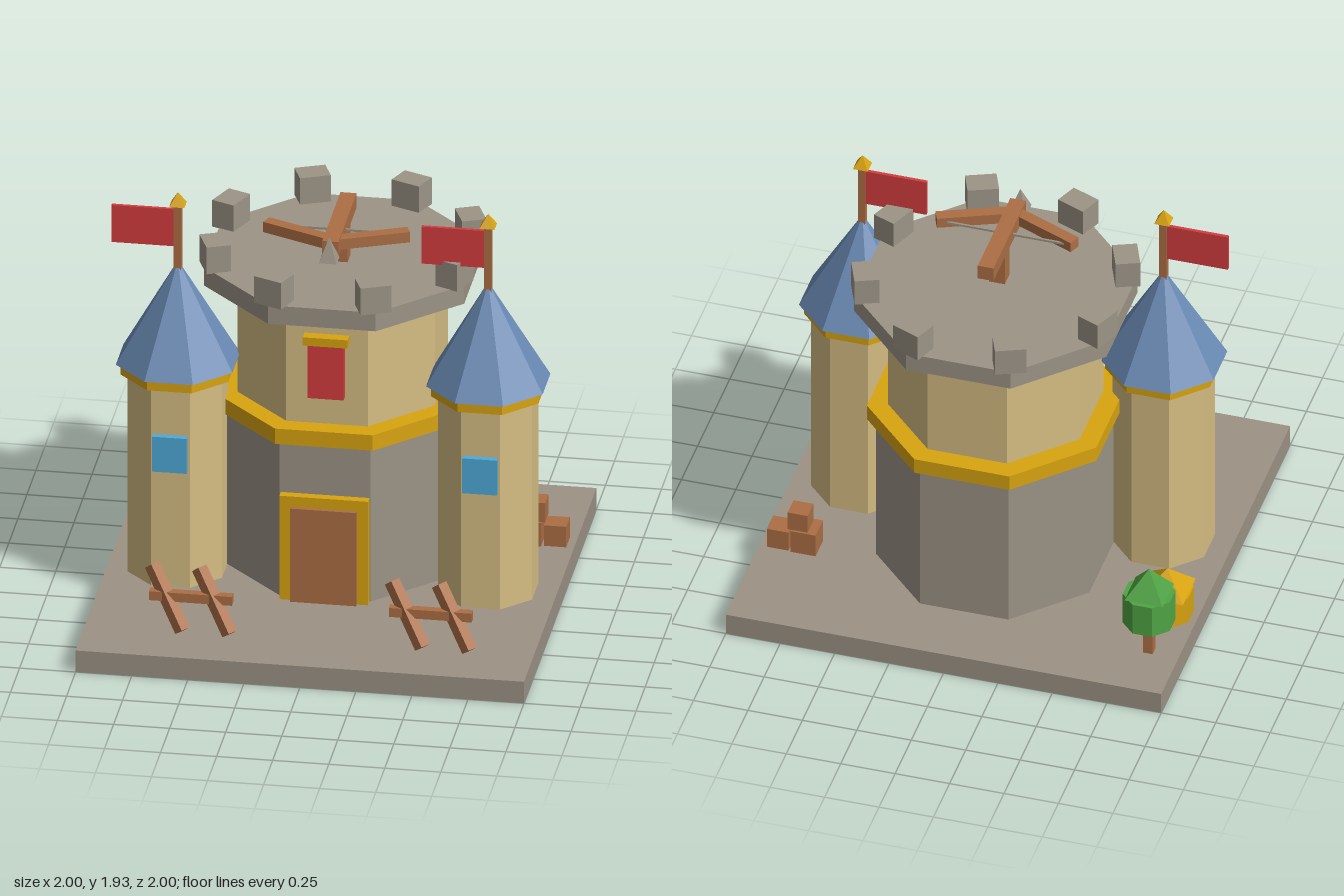
import * as THREE from 'three';

export function createModel() {
  const model = new THREE.Group();
  model.name = 'castle';
  const mat = (name, color, side = THREE.FrontSide) =>
    Object.assign(new THREE.MeshStandardMaterial({ color, flatShading: true, side }), { name });
  const stone = mat('stone', 0x9c9486);
  const ground = mat('groundStone', 0x9c9285, THREE.DoubleSide);
  const tan = mat('sandstone', 0xd6be83);
  const gold = mat('gold', 0xd8a410);
  const red = mat('red', 0xd43d3f);
  const glass = mat('windowBlue', 0x4eaad8);
  const slate = mat('slateBlue', 0x6a8ab4);
  const wood = mat('wood', 0xac6e45);
  const leaf = mat('leafGreen', 0x50a545);

  const add = (name, geo, material, x, y, z, parent = model) => {
    const m = new THREE.Mesh(geo, material);
    m.name = name;
    m.position.set(x, y, z);
    parent.add(m);
    return m;
  };
  const box = (name, material, w, h, d, x, y, z, parent) =>
    add(name, new THREE.BoxGeometry(w, h, d), material, x, y, z, parent);
  // Prism or pyramid between two heights; a = distance from axis to flat side
  const prism = (name, material, sides, a, y0, y1, x, z, parent, top = a) => {
    const k = 1 / Math.cos(Math.PI / sides);
    const g = new THREE.CylinderGeometry(top * k, a * k, y1 - y0, sides).rotateY(Math.PI / sides);
    return add(name, g, material, x, (y0 + y1) / 2, z, parent);
  };
  // Square beam from point p to point q
  const beam = (name, material, p, q, w, h, parent) => {
    const a = new THREE.Vector3(...p), b = new THREE.Vector3(...q);
    const m = box(name, material, w, h, a.distanceTo(b), 0, 0, 0, parent);
    m.position.copy(a).add(b).multiplyScalar(0.5);
    m.quaternion.setFromRotationMatrix(new THREE.Matrix4().lookAt(b, a, new THREE.Vector3(0, 1, 0)));
    return m;
  };
  const group = (name) => {
    const g = new THREE.Group();
    g.name = name;
    model.add(g);
    return g;
  };

  // Ground slab, open underneath
  const slab = new THREE.BoxGeometry(2, 0.105, 2);
  const idx = Array.from(slab.index.array);
  idx.splice(18, 6);
  slab.setIndex(idx);
  slab.clearGroups();
  add('groundSlab', slab, ground, 0, 0.0525, 0);

  // Central keep
  const keep = group('keep');
  const KZ = -0.19;
  prism('lowerKeep', stone, 8, 0.49, 0.105, 0.88, 0, KZ, keep);
  prism('keepBand', gold, 8, 0.527, 0.86, 0.935, 0, KZ, keep);
  prism('upperKeep', tan, 8, 0.44, 0.93, 1.48, 0, KZ, keep);
  prism('battlementFloor', stone, 8, 0.58, 1.47, 1.56, 0, KZ, keep);
  for (let i = 0; i < 8; i++) {
    const t = (i + 0.5) * Math.PI / 4;
    const m = box('merlon', stone, 0.14, 0.13, 0.11,
      Math.sin(t) * 0.578, 1.623, KZ + Math.cos(t) * 0.578, keep);
    m.rotation.y = t;
  }

  // Door and banner
  box('doorFrame', gold, 0.395, 0.505, 0.06, 0, 0.3575, 0.31, keep);
  box('door', wood, 0.295, 0.455, 0.06, 0, 0.3325, 0.329, keep);
  box('banner', red, 0.16, 0.28, 0.04, 0, 1.21, 0.265, keep);
  box('bannerRod', gold, 0.2, 0.04, 0.06, 0, 1.352, 0.27, keep);

  // Roof crossbow
  const bow = group('roofCrossbow');
  box('bowPost', wood, 0.072, 0.17, 0.072, 0, 1.64, -0.135, bow);
  box('bowStock', wood, 0.072, 0.07, 0.505, 0, 1.745, -0.095, bow);
  for (const s of [-1, 1])
    beam('bowArm', wood, [0, 1.745, 0.095], [s * 0.318, 1.745, -0.04], 0.055, 0.05, bow);
  box('bowString', stone, 0.56, 0.01, 0.01, 0, 1.745, -0.045, bow);
  prism('boltTip', stone, 4, 0.04, 1.705, 1.815, 0, 0.19, bow, 0);

  // Side towers
  for (const s of [-1, 1]) {
    const tower = group(s < 0 ? 'rightTower' : 'leftTower');
    const x = s * 0.692, z = 0.08;
    prism('towerWall', tan, 8, 0.21, 0.105, 1.08, x, z, tower);
    prism('towerCollar', gold, 8, 0.24, 1.07, 1.122, x, z, tower);
    prism('towerRoof', slate, 8, 0.26, 1.12, 1.6, x, z, tower, 0);
    box('flagPole', wood, 0.033, 0.36, 0.033, x, 1.7, z, tower);
    prism('finial', gold, 4, 0.034, 1.872, 1.932, x, z, tower, 0);
    box('flag', red, 0.28, 0.18, 0.016, x - 0.156, 1.76, z, tower);
    box('towerWindow', glass, 0.155, 0.17, 0.04, x, 0.76, 0.3, tower);
  }

  // Wooden barricades
  for (const cx of [-0.535, 0.535]) {
    const barricade = group('barricade');
    box('rail', wood, 0.37, 0.043, 0.04, cx, 0.257, 0.69, barricade);
    for (const dx of [-0.105, 0.105])
      beam('stake', wood, [cx + dx - 0.077, 0.375, 0.637], [cx + dx + 0.077, 0.118, 0.752],
        0.05, 0.05, barricade);
  }

  // Crates
  const crates = group('crates');
  for (const [size, x, y, z] of [[0.115, 0.797, 0.105, -0.43], [0.1, 0.915, 0.105, -0.432], [0.092, 0.825, 0.22, -0.43]])
    box('crate', wood, size, size, size, x, y + size / 2, z, crates);

  // Tree and bush
  const plants = group('plants');
  box('treeTrunk', wood, 0.045, 0.18, 0.045, -0.86, 0.19, -0.715, plants);
  prism('treeFoliage', leaf, 8, 0.108, 0.27, 0.43, -0.86, -0.715, plants);
  prism('treeTop', leaf, 4, 0.088, 0.43, 0.56, -0.86, -0.715, plants, 0);
  prism('bush', gold, 8, 0.108, 0.105, 0.24, -0.86, -0.43, plants);
  prism('bushTop', gold, 4, 0.1, 0.24, 0.35, -0.86, -0.43, plants, 0);

  return model;
}
